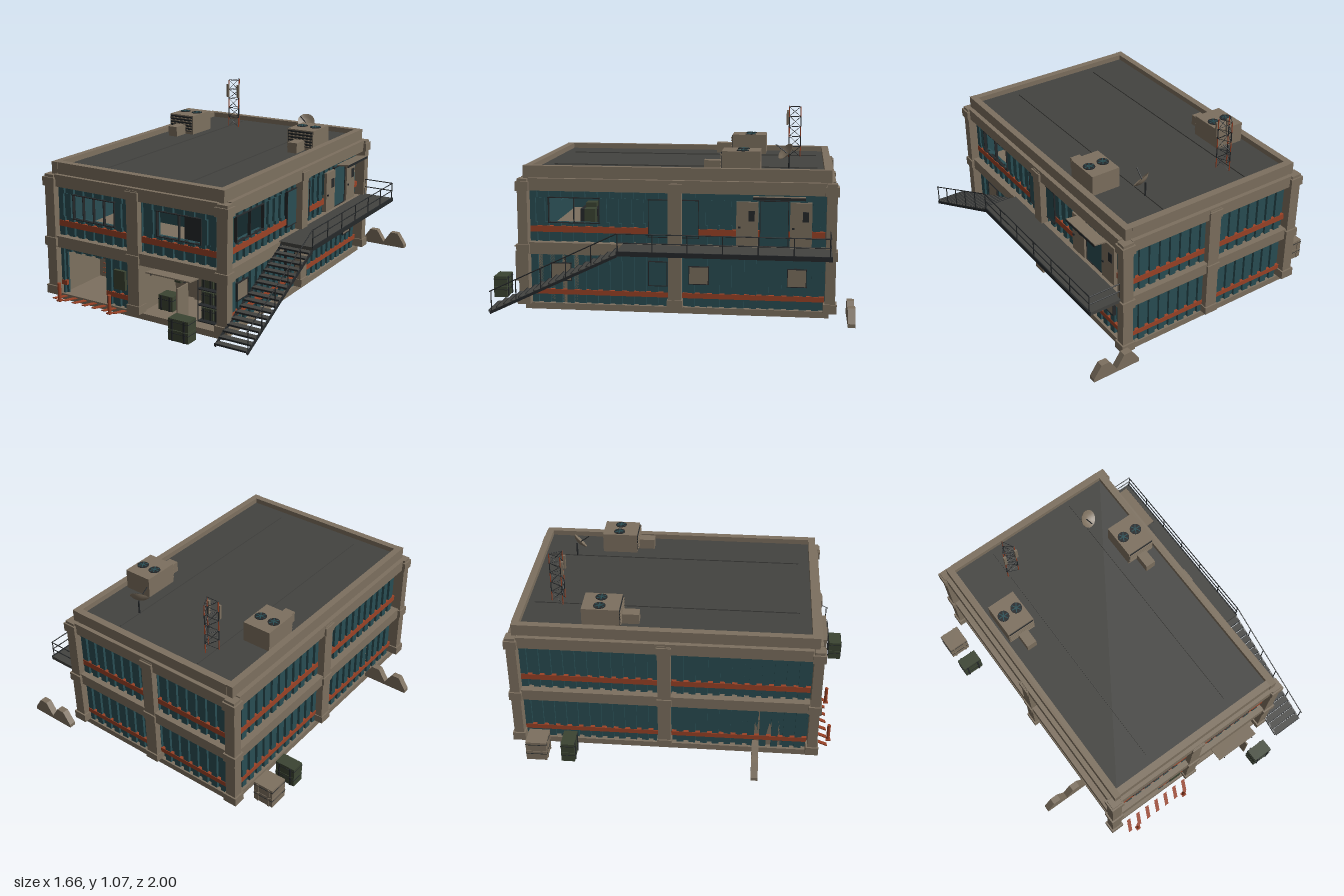
import * as THREE from 'three';

const mat = (name, color) => {
  const m = new THREE.MeshStandardMaterial({ color });
  m.name = name;
  return m;
};

export function createModel() {
  const root = new THREE.Group();
  root.name = 'containerOutpost';
  const beige = mat('beige', 0x7d705f), teal = mat('teal', 0x294d53), orange = mat('orange', 0x9a4226);
  const roofGrey = mat('roofGrey', 0x434340), dark = mat('darkMetal', 0x25282a), green = mat('crateGreen', 0x3b4432);

  const add = (name, geo, m, parent = root) => {
    const mesh = new THREE.Mesh(geo, m);
    mesh.name = name;
    parent.add(mesh);
    return mesh;
  };
  // Box given by its extents
  const box = (name, m, x0, x1, y0, y1, z0, z1, parent = root) => {
    const b = add(name, new THREE.BoxGeometry(x1 - x0, y1 - y0, z1 - z0), m, parent);
    b.position.set((x0 + x1) / 2, (y0 + y1) / 2, (z0 + z1) / 2);
    return b;
  };
  // Round bar between two points
  const bar = (name, m, a, b, r = 0.003) => {
    const p = new THREE.Vector3(...a), d = new THREE.Vector3(...b).sub(p);
    const c = add(name, new THREE.CylinderGeometry(r, r, d.length(), 6), m);
    c.position.copy(p).addScaledVector(d, 0.5);
    c.quaternion.setFromUnitVectors(new THREE.Vector3(0, 1, 0), d.normalize());
  };
  const outline = points => new THREE.Shape(points.map(p => new THREE.Vector2(...p)));
  const ZC = -0.046; // centre of the building along z

  // Base, inner volumes (front rooms left hollow) and roof
  box('baseSlab', beige, -0.553, 0.553, 0, 0.035, -0.873, 0.786);
  box('upperCore', teal, -0.52, 0.52, 0.38, 0.665, -0.845, 0.3);
  box('upperFloor', beige, -0.52, 0.52, 0.315, 0.38, -0.845, 0.755);
  box('upperCeiling', beige, -0.52, 0.52, 0.665, 0.735, -0.845, 0.755);
  box('lowerCore', beige, -0.52, 0.52, 0.035, 0.315, -0.845, 0.45);
  box('garageSideWall', beige, -0.2, -0.19, 0.035, 0.315, 0.45, 0.75);
  box('partition', beige, -0.03, 0.03, 0.035, 0.315, 0.45, 0.76);
  for (const s of [-1, 1]) box('roomLining', beige, s * 0.517 - 0.007, s * 0.517 + 0.007, 0.035, 0.315, 0.45, 0.75);
  box('roof', roofGrey, -0.53, 0.53, 0.735, 0.768, -0.855, 0.77);
  for (const s of [-1, 1]) {
    box('sideParapet', beige, s * 0.534 - 0.019, s * 0.534 + 0.019, 0.73, 0.798, -0.873, 0.786);
    box('endParapet', beige, -0.515, 0.515, 0.73, 0.798, ZC + s * 0.809 - 0.02, ZC + s * 0.809 + 0.02);
    box('roofSeam', roofGrey, s * 0.27 - 0.002, s * 0.27 + 0.002, 0.768, 0.774, -0.8, 0.68);
  }

  // Corrugated wall strip with square ribs, along u on a rotated side group
  const corrugated = (u0, u1, y0, y1, parent) => {
    const n = Math.max(1, Math.round((u1 - u0) / 0.066)), p = (u1 - u0) / n, d = 0.015;
    const pts = [[u0, 0.012]];
    for (let i = 0; i < n; i++) {
      const u = u0 + i * p;
      pts.push([u, -d], [u + p * 0.58, -d], [u + p * 0.581, 0], [u + p * 0.999, 0]);
    }
    pts.push([u1, 0.012]);
    const g = new THREE.ExtrudeGeometry(outline(pts), { depth: y1 - y0, bevelEnabled: false });
    add('corrugatedWall', g.rotateX(-Math.PI / 2).translate(0, y0, 0), teal, parent);
  };
  const stripe = (u0, u1, y0, y1, parent) => box('wallStripe', orange, u0, u1, y0, y1, 0, 0.018, parent);

  // Four sides; openings are the window spans of the upper floor
  [['front', 0, 0.803, 0.525, [[-0.42, -0.14], [0.138, 0.41]]], ['back', Math.PI, 0.803, 0.525, []],
    ['left', Math.PI / 2, 0.524, 0.8, [[-0.696, -0.416]]], ['right', -Math.PI / 2, 0.524, 0.8, []]].forEach(([name, yaw, dist, half, openings]) => {
    const turn = new THREE.Group(), side = new THREE.Group();
    turn.name = name + 'Wall';
    turn.position.z = ZC;
    turn.rotation.y = yaw;
    side.position.z = dist;
    turn.add(side);
    root.add(turn);
    corrugated(-half, half, 0.38, 0.488, side);
    corrugated(-half, half, 0.622, 0.665, side);
    let u = -half;
    for (const [a, b] of openings) {
      corrugated(u, a, 0.488, 0.622, side);
      u = b;
    }
    corrugated(u, half, 0.488, 0.622, side);
    stripe(-half, half, 0.432, 0.466, side);
    if (name === 'front') {
      for (const [a, b] of [[-0.525, -0.49], [-0.21, -0.03]]) {
        corrugated(a, b, 0.035, 0.315, side);
        stripe(a, b, 0.083, 0.111, side);
      }
      corrugated(-0.49, -0.21, 0.287, 0.315, side);
    } else {
      corrugated(-half, half, 0.035, 0.315, side);
      stripe(-half, half, 0.083, 0.111, side);
    }
    // Beams and middle post with its blocks
    const out = dist > 0.6 ? 0.048 : 0.054;
    box('floorBeam', beige, -half, half, 0.315, 0.38, -0.03, out, side);
    box('roofBeam', beige, -half, half, 0.665, 0.733, -0.03, out, side);
    box('middlePost', beige, -0.036, 0.036, 0.035, 0.72, -0.01, out + 0.004, side);
    for (const y of [0.035, 0.32, 0.668])
      box('middleBlock', beige, -0.041, 0.041, y, y + 0.045, -0.01, out + 0.012, side);
  });

  // Corner posts with casting blocks
  for (const sx of [-1, 1]) for (const sz of [-1, 1]) {
    const x = sx * 0.556, z = ZC + sz * 0.831;
    box('cornerPost', beige, x - 0.031, x + 0.031, 0.035, 0.73, z - 0.027, z + 0.027);
    for (const y of [0.035, 0.32, 0.665])
      box('cornerBlock', beige, x - 0.04, x + 0.04, y, y + 0.05, z - 0.036, z + 0.036);
  }

  // Windows on the front (+z) or the left side (+x): dark frame, bars and an optional panel
  const windowAt = (face, a, b, y0, y1, panes, panel) => {
    const g = new THREE.Group(), t = 0.004;
    g.name = 'window';
    if (face === 'front') g.position.z = 0.773;
    else { g.position.x = 0.54; g.rotation.y = Math.PI / 2; }
    root.add(g);
    const [u0, u1] = face === 'front' ? [a, b] : [-b, -a];
    if (panel) box('panel', panel, u0, u1, y0, y1, 0, 0.004, g);
    box('frameBottom', dark, u0 - t, u1 + t, y0 - t, y0, -0.01, 0.008, g);
    box('frameTop', dark, u0 - t, u1 + t, y1, y1 + t, -0.01, 0.008, g);
    for (let i = 0; i <= panes; i++) {
      const u = u0 + (u1 - u0) * i / panes;
      box('mullion', dark, u - 0.002, u + 0.002, y0, y1, -0.01, 0.008, g);
    }
  };
  windowAt('front', -0.42, -0.14, 0.488, 0.622, 4);
  windowAt('front', 0.138, 0.41, 0.488, 0.622, 2);
  windowAt('side', 0.37, 0.65, 0.488, 0.622, 2);
  windowAt('side', -0.17, 0.1, 0.42, 0.62, 2, teal);
  windowAt('side', -0.65, -0.5, 0.385, 0.625, 1, teal);
  windowAt('side', 0, 0.1, 0.15, 0.28, 1, teal);
  for (const [a, b] of [[0.53, 0.64], [-0.75, -0.65], [-0.225, -0.12]]) windowAt('side', a, b, 0.165, 0.258, 1, beige);

  // Office furniture behind the front windows
  box('desk', dark, 0.14, 0.33, 0.38, 0.525, 0.42, 0.52);
  box('deskConsole', green, 0.205, 0.275, 0.525, 0.552, 0.44, 0.5);
  box('locker', green, 0.35, 0.41, 0.38, 0.54, 0.42, 0.48);

  // Balcony doors and awning
  for (const z of [-0.432, -0.717]) {
    box('balconyDoor', beige, 0.53, 0.556, 0.385, 0.622, z - 0.058, z + 0.058);
    box('doorWindow', dark, 0.556, 0.56, 0.52, 0.575, z - 0.04, z - 0.008);
    box('doorHandle', dark, 0.556, 0.563, 0.48, 0.49, z + 0.035, z + 0.047);
  }
  box('balconyAwning', beige, 0.575, 0.65, 0.655, 0.663, -0.74, -0.465).rotation.z = 0.12;
  box('awningEdge', dark, 0.644, 0.651, 0.65, 0.664, -0.74, -0.465);

  // Garage back door, wall cabinet, bollards and floor chevrons
  for (let i = 0; i < 8; i++) box('doorSlatLine', orange, -0.485, -0.215, 0.06 + i * 0.029, 0.063 + i * 0.029, 0.45, 0.454);
  box('wallCabinet', green, -0.145, -0.07, 0.14, 0.25, 0.77, 0.79);
  for (const x of [-0.452, -0.106]) {
    add('bollard', new THREE.CylinderGeometry(0.01, 0.01, 0.105, 10), orange).position.set(x, 0.088, 0.883);
    box('bollardFoot', orange, x - 0.014, x + 0.014, 0.035, 0.042, 0.87, 0.897);
  }
  for (let i = 0; i < 7; i++) {
    const s = outline([[-0.028, -0.032], [-0.004, -0.032], [0.028, 0.032], [0.004, 0.032]]);
    const g = new THREE.ExtrudeGeometry(s, { depth: 0.005, bevelEnabled: false }).rotateX(-Math.PI / 2);
    add('floorChevron', g, orange).position.set(-0.484 + i * 0.0685, 0.035, 0.843);
  }

  // Crate with lid seam and latches
  const crate = (x, y, z, w = 0.12, h = 0.058, d = 0.075, m = green) => {
    const g = new THREE.Group();
    g.name = 'crate';
    g.position.set(x, y, z);
    root.add(g);
    box('crateBody', m, -w / 2, w / 2, 0, h, -d / 2, d / 2, g);
    box('crateLidSeam', dark, -w / 2 - 0.002, w / 2 + 0.002, h * 0.7, h * 0.75, -d / 2 - 0.002, d / 2 + 0.002, g);
    for (const k of [-0.3, 0.3]) box('crateLatch', m === green ? dark : m, w * k - 0.005, w * k + 0.005, 0, h - 0.003, -d / 2 - 0.004, d / 2 + 0.004, g);
  };
  for (const y of [0.035, 0.096]) {
    crate(0.41, y, 0.955);
    crate(-0.695, y, -0.568);
    crate(-0.695, y, -0.745, 0.12, 0.058, 0.115, beige);
  }

  // Shop: door, shelves of crates, awning
  box('shopDoor', beige, 0.17, 0.35, 0.035, 0.3, 0.45, 0.47);
  box('openDoorLeaf', beige, 0.338, 0.346, 0.1, 0.275, 0.8, 0.9);
  box('toolBoard', green, 0.035, 0.075, 0.11, 0.25, 0.45, 0.47);
  crate(0.125, 0.035, 0.65, 0.09, 0.085, 0.08);
  for (const y of [0.035, 0.125, 0.215]) {
    box('shelf', dark, 0.35, 0.51, y, y + 0.005, 0.56, 0.72);
    for (const x of [0.39, 0.468]) crate(x, y + 0.005, 0.65, 0.072, 0.065);
  }
  box('shelfTop', orange, 0.35, 0.51, 0.3, 0.306, 0.56, 0.72);
  for (const x of [0.352, 0.508]) for (const z of [0.562, 0.718]) bar('shelfPost', dark, [x, 0.035, z], [x, 0.3, z]);
  box('shopAwning', beige, 0.138, 0.41, 0.311, 0.318, 0.79, 0.885).rotation.x = -0.08;
  box('awningLip', dark, 0.138, 0.345, 0.3, 0.309, 0.78, 0.8);
  for (const x of [0.172, 0.38]) bar('awningBracket', dark, [x, 0.298, 0.8], [x, 0.314, 0.89]);

  // Walkway with railing
  box('walkway', roofGrey, 0.57, 0.772, 0.362, 0.382, -0.88, 0.238);
  box('walkwayEdge', dark, 0.768, 0.775, 0.36, 0.385, -0.88, 0.238);
  for (let i = 0; i <= 6; i++) {
    const z = 0.23 - i * 0.183;
    bar('railPost', dark, [0.77, 0.37, z], [0.77, 0.478, z]);
  }
  for (const y of [0.43, 0.478]) {
    bar('sideRail', dark, [0.77, y, 0.235], [0.77, y, -0.872]);
    bar('endRail', dark, [0.585, y, -0.872], [0.77, y, -0.872]);
  }
  bar('railPost', dark, [0.585, 0.37, -0.872], [0.585, 0.478, -0.872]);

  // Staircase
  const stairY = z => 0.37 - (z - 0.235) * 0.478;
  for (let i = 0; i < 17; i++) {
    const z = 0.255 + i * 0.041, y = stairY(z);
    box('tread', roofGrey, 0.585, 0.77, y - 0.006, y, z - 0.02, z + 0.018);
    box('treadNose', dark, 0.585, 0.77, y - 0.008, y + 0.001, z + 0.017, z + 0.021);
  }
  for (const x of [0.585, 0.77])
    box('stringer', dark, x - 0.004, x + 0.004, 0.189, 0.203, 0.198, 0.962).rotation.x = Math.atan(0.478);
  bar('stairRail', dark, [0.77, 0.478, 0.235], [0.77, 0.148, 0.925]);
  for (let i = 1; i <= 5; i++) {
    const z = 0.235 + i * 0.136, y = stairY(z);
    bar('stairPost', dark, [0.77, y - 0.01, z], [0.77, y + 0.108, z]);
  }

  // Rooftop air units
  for (const x of [-0.416, 0.416]) {
    box('airUnit', beige, x - 0.084, x + 0.084, 0.768, 0.885, -0.495, -0.29);
    box('airDuct', beige, x - 0.03, x + 0.03, 0.768, 0.828, -0.29, -0.19);
    box('grille', dark, x - 0.078, x + 0.078, 0.785, 0.878, -0.29, -0.286);
    for (let i = 0; i < 5; i++) box('grilleSlat', beige, x - 0.08, x + 0.08, 0.79 + i * 0.018, 0.796 + i * 0.018, -0.287, -0.281);
    for (const k of [-0.043, 0.043]) {
      add('fanWell', new THREE.CylinderGeometry(0.033, 0.033, 0.004, 20), dark).position.set(x + k, 0.886, -0.4);
      for (let i = 0; i < 3; i++) {
        const blade = box('fanBlade', teal, x + k - 0.028, x + k + 0.028, 0.888, 0.89, -0.403, -0.397);
        blade.rotation.y = i * Math.PI / 3;
      }
    }
  }

  // Lattice mast with alternating leg colours and panel antennas
  const legs = [[-0.28, -0.636], [-0.207, -0.636], [-0.243, -0.704]];
  for (let i = 0; i < 5; i++) legs.forEach(([x, z], k) => {
    const y0 = 0.768 + i * 0.06, y1 = y0 + 0.06, [nx, nz] = legs[(k + 1) % 3];
    bar('mastLeg', i % 2 ? dark : orange, [x, y0, z], [x, y1, z]);
    bar('mastBrace', dark, i % 2 ? [x, y0, z] : [nx, y0, nz], i % 2 ? [nx, y1, nz] : [x, y1, z], 0.0015);
    bar('mastRing', dark, [x, y1, z], [nx, y1, nz], 0.0015);
  });
  for (const x of [-0.28, -0.207]) box('panelAntenna', beige, x - 0.008, x + 0.008, 0.96, 1.042, -0.632, -0.62);

  // Satellite dish
  bar('dishMast', dark, [0.272, 0.768, -0.645], [0.272, 0.85, -0.645], 0.005);
  bar('dishFeed', dark, [0.278, 0.85, -0.635], [0.273, 0.9, -0.57]);
  const bowl = [[0.0001, 0], [0.02, 0.002], [0.037, 0.008], [0.052, 0.018], [0.052, 0.021], [0.037, 0.011], [0.02, 0.005], [0.0001, 0.003]];
  const dish = add('dishBowl', new THREE.LatheGeometry(bowl.map(p => new THREE.Vector2(...p)), 20), beige);
  dish.position.set(0.278, 0.85, -0.637);
  dish.quaternion.setFromUnitVectors(new THREE.Vector3(0, 1, 0), new THREE.Vector3(0.35, 0.65, 0.68).normalize());

  // Concrete barriers with two teeth
  const teeth = [[-0.14, 0], [0.14, 0], [0.14, 0.02], [0.093, 0.09], [0.046, 0.09], [0, 0.02], [-0.046, 0.09], [-0.093, 0.09], [-0.14, 0.02]];
  for (const [x, z] of [[-0.692, 0.448], [0.692, -1.0]])
    add('barrier', new THREE.ExtrudeGeometry(outline(teeth), { depth: 0.038, bevelEnabled: false }), beige).position.set(x, 0.035, z);
  return root;
}
